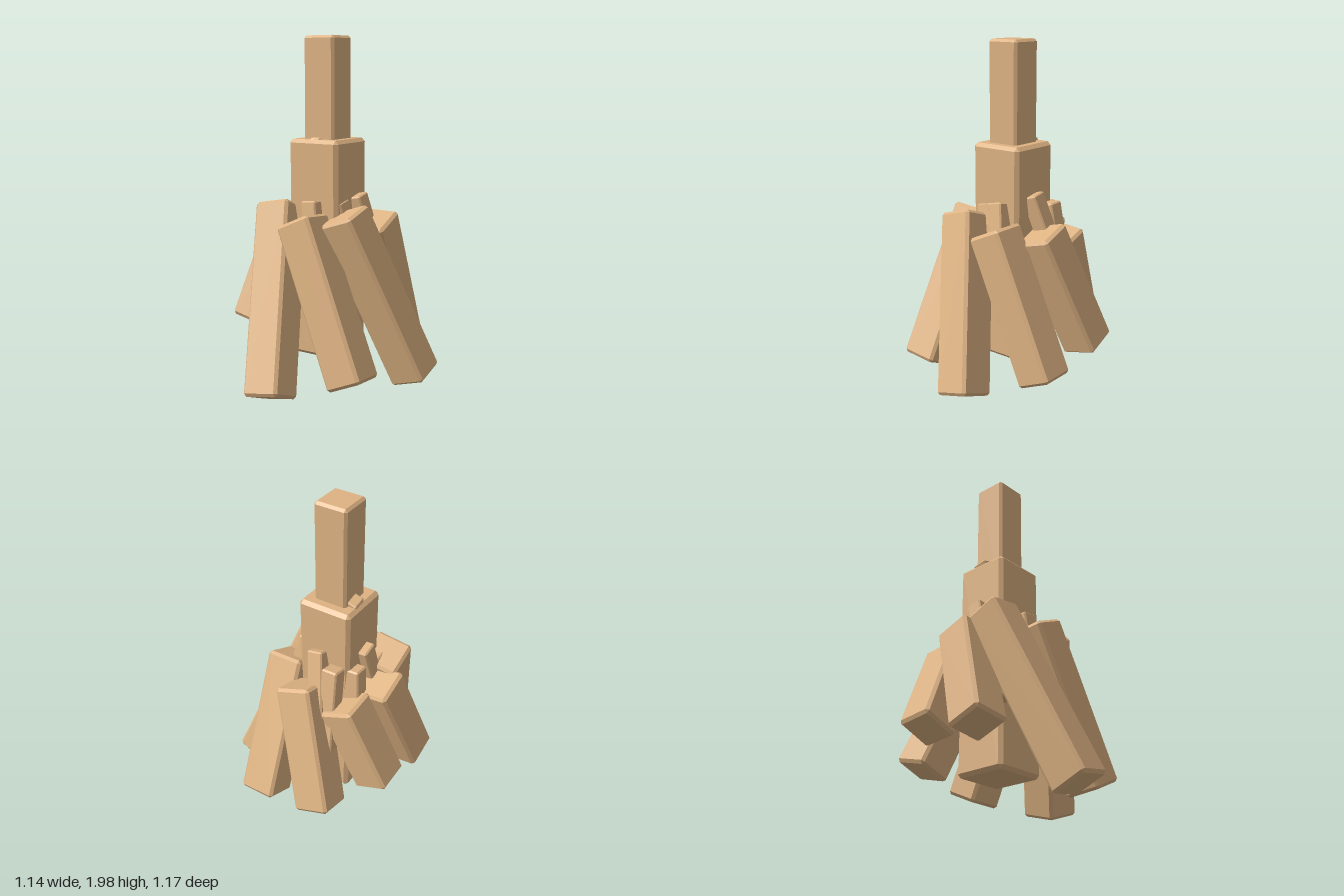
import * as THREE from 'three';
import { ConvexGeometry } from 'three/addons/geometries/ConvexGeometry.js';

// Box with every edge chamfered by c
function chamferedBox(w, h, d, c) {
  const points = [];
  for (const x of [-1, 1]) for (const y of [-1, 1]) for (const z of [-1, 1]) {
    for (let full = 0; full < 3; full++) {
      const half = [w / 2, h / 2, d / 2].map((v, i) => (i === full ? v : v - c));
      points.push(new THREE.Vector3(x * half[0], y * half[1], z * half[2]));
    }
  }
  return new ConvexGeometry(points);
}

export function createModel() {
  const group = new THREE.Group();
  const wood = new THREE.MeshStandardMaterial({ color: 0xdeb383 });
  wood.name = 'wood';

  // Square beam between two end centres, its sides turned 45 degrees to x and z
  function beam(name, top, bottom, size, chamfer) {
    const t = new THREE.Vector3(...top), b = new THREE.Vector3(...bottom);
    const up = t.clone().sub(b);
    const mesh = new THREE.Mesh(chamferedBox(size, up.length(), size, chamfer), wood);
    up.normalize();
    const side = new THREE.Vector3(1, 0, 1).normalize();
    side.addScaledVector(up, -side.dot(up)).normalize();
    const face = side.clone().cross(up);
    mesh.quaternion.setFromRotationMatrix(new THREE.Matrix4().makeBasis(side, up, face));
    mesh.position.copy(t).add(b).multiplyScalar(0.5);
    mesh.name = name;
    group.add(mesh);
  }

  // Upright centre
  beam('lowerTrunk', [-0.035, 1.435, -0.05], [-0.035, 0.2, -0.05], 0.318, 0.02);
  beam('upperTrunk', [-0.035, 2, -0.05], [-0.035, 1.3, -0.05], 0.195, 0.014);

  // Ring of seven large leaning logs
  const logs = [
    [[-0.005, 1.035, 0.21], [0.405, 0.115, 0.262]],
    [[-0.22, 1.005, 0.133], [-0.003, 0.16, 0.45]],
    [[-0.293, 1.055, -0.108], [-0.432, 0.072, 0.322]],
    [[-0.21, 0.96, -0.243], [-0.44, 0.36, -0.17]],
    [[-0.005, 0.9, -0.31], [-0.195, 0.41, -0.43]],
    [[0.203, 0.965, -0.178], [0.16, 0.29, -0.465]],
    [[0.2, 0.987, 0.075], [0.438, 0.2, -0.178]],
  ];
  logs.forEach(([t, b], i) => beam('leaningLog' + (i + 1), t, b, 0.215, 0.016));

  // Small sticks tucked between the logs and the trunk: top end, then lean
  const sticks = [
    [[0.11, 1.12, 0.04], [0.3, 0]],
    [[0.1, 1.16, -0.145], [0.08, -0.35]],
    [[0.04, 1.1, -0.25], [0.1, -0.15]],
    [[-0.14, 1.16, -0.17], [-0.25, 0.15]],
    [[-0.08, 1.08, -0.24], [0, -0.1]],
    [[-0.15, 1.1, 0.08], [0, 0.15]],
    [[-0.22, 1.05, -0.1], [-0.1, 0.1]],
    [[-0.01, 1.09, 0.09], [0.3, 0]],
  ];
  sticks.forEach(([t, [dx, dz]], i) =>
    beam('smallStick' + (i + 1), t, [t[0] + dx * 0.5, t[1] - 0.5, t[2] + dz * 0.5], 0.095, 0.008));

  // Chips poking out of the trunk's shoulder
  beam('shoulderChip1', [-0.09, 1.465, -0.15], [-0.07, 1.3, -0.08], 0.085, 0.008);
  beam('shoulderChip2', [-0.11, 1.445, 0.02], [-0.1, 1.3, 0], 0.06, 0.006);

  return group;
}
